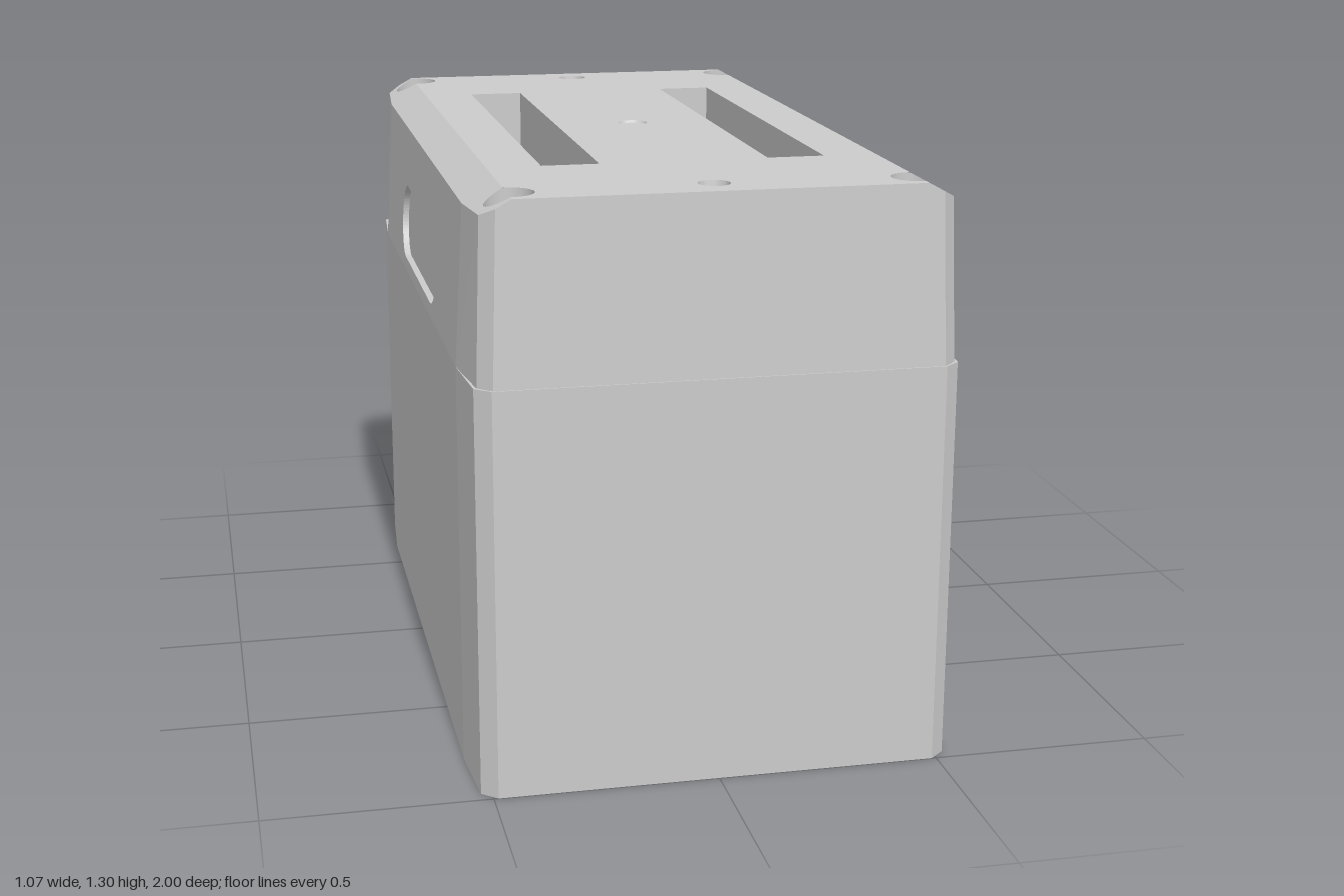
import * as THREE from 'three';
import { toCreasedNormals } from 'three/addons/utils/BufferGeometryUtils.js';

const grey = new THREE.MeshStandardMaterial({ color: 0xcccccc, side: THREE.DoubleSide });
const V2 = (x, y) => new THREE.Vector2(x, y);

// Side chamfer of the lid top, and the sloping lid side
const topY = x => 1.305 - Math.max(0, Math.abs(x) - 0.44) * 0.55;
const sideX = y => 0.537 - (y - 0.91) * 0.0567;

export function createModel() {
  const model = new THREE.Group();
  const add = (name, geo, x = 0, y = 0, z = 0, parent = model) => {
    const mesh = new THREE.Mesh(geo, grey);
    mesh.name = name;
    mesh.position.set(x, y, z);
    parent.add(mesh);
    return mesh;
  };

  // Flat-faced skin between closed rings of [x, y, z]; skip lists omitted segments
  const loft = (rings, skip = []) => {
    const pos = [], n = rings[0].length;
    for (let r = 0; r < rings.length - 1; r++) {
      for (let i = 0; i < n; i++) {
        if (skip.includes(i)) continue;
        const j = (i + 1) % n, a = rings[r][i], b = rings[r][j], c = rings[r + 1][j], d = rings[r + 1][i];
        pos.push(...a, ...b, ...c, ...a, ...c, ...d);
      }
    }
    const g = new THREE.BufferGeometry();
    g.setAttribute('position', new THREE.Float32BufferAttribute(pos, 3));
    g.computeVertexNormals();
    return g;
  };

  // Flat shape carried into space by a rule
  const sheet = (shape, map, flip = false) => {
    const g = new THREE.ShapeGeometry(shape, 16);
    const p = g.attributes.position;
    for (let i = 0; i < p.count; i++) p.setXYZ(i, ...map(p.getX(i), p.getY(i)));
    if (flip) g.index.array.reverse();
    g.computeVertexNormals();
    return g;
  };
  const circle = (x, y, r) => new THREE.Path().absarc(x, y, r, 0, Math.PI * 2);
  const lathe = (pts, seg = 32) =>
    toCreasedNormals(new THREE.LatheGeometry(pts.map(p => V2(...p)), seg), 0.6);

  // Plan outline, front to back on +x and mirrored on -x
  const plan = (xa, xb, xc, zf, zb, yOf) => {
    const half = [[0.44, zf], [xa, zf], [xb, zf - 0.03], [xc, 0.79], [xc, -0.63], [xb, zb + 0.03], [xa, zb], [0.44, zb]];
    return [...half, ...half.map(([x, z]) => [-x, z]).reverse()].map(([x, z]) => [x, yOf(x), z]);
  };
  const base = plan(0.49, 0.524, 0.537, 1, -0.845, () => 0);
  const baseTop = base.map(([x, , z]) => [x, 0.91, z]);
  const lidLow = plan(0.487, 0.517, 0.537, 0.997, -0.842, () => 0.91);
  const lidTop = plan(0.475, 0.505, 0.517, 0.985, -0.83, topY);
  add('lowerHousing', loft([base, baseTop, lidLow]));
  add('lidWalls', loft([lidLow, lidTop], [3, 11]));

  // Lid sides with a shallow pill-shaped grip recess
  const pill = [];
  for (let i = 0; i <= 32; i++) {
    const a = -Math.PI / 2 + (i % 33) * Math.PI / 32;
    pill.push(V2(0.07 + 0.255 + 0.09 * Math.cos(a), 1.03 + 0.09 * Math.sin(a)));
  }
  pill.push(...pill.map(p => V2(0.14 - p.x, 2.06 - p.y)));
  for (const s of [1, -1]) {
    const side = new THREE.Shape([V2(-0.63, 0.91), V2(0.79, 0.91), V2(0.79, topY(0.517)), V2(-0.63, topY(0.517))]);
    side.holes.push(new THREE.Path(pill));
    add('lidSide', sheet(side, (z, y) => [s * sideX(y), y, z], s > 0));
    const ring = d => pill.map(p => [s * (sideX(p.y) - d), p.y, p.x]);
    add('gripWall', loft([ring(0), ring(0.015)]));
    add('gripFloor', sheet(new THREE.Shape(pill), (z, y) => [s * (sideX(y) - 0.015), y, z], s > 0));
  }

  // Lid top: centre strip and two chamfers, meeting through the corner bores
  const boreX = 0.435, boreR = 0.053, boreZ = [0.91, -0.765];
  const phi = Math.acos((0.44 - boreX) / boreR);
  const seam = outer => {
    const pts = [V2(0.44, 0.985)];
    for (const cz of boreZ) {
      for (let i = 0; i <= 20; i++) {
        const a = phi + (i / 20) * (outer ? -2 * phi : 2 * (Math.PI - phi));
        pts.push(V2(boreX + boreR * Math.cos(a), cz + boreR * Math.sin(a)));
      }
    }
    pts.push(V2(0.44, -0.83));
    return pts;
  };
  const inner = seam(false);
  const centre = new THREE.Shape([...inner, ...inner.map(p => V2(-p.x, p.y)).reverse()]);
  const slots = [1, -1].map(s => [[s * 0.19, -0.48], [s * 0.32, -0.48], [s * 0.32, 0.62], [s * 0.19, 0.62]]);
  slots.forEach(q => centre.holes.push(new THREE.Path(q.map(p => V2(...p)))));
  const topHoles = [[-0.75, 0.035, 0.03], [0.895, 0.035, 0.03], [0.07, 0.035, 0.008]];
  topHoles.forEach(([z, r]) => centre.holes.push(circle(0, z, r)));
  const onTop = (x, z) => [x, topY(x), z];
  add('lidTop', sheet(centre, onTop, true));
  for (const s of [1, -1]) {
    const rim = lidTop.slice(1, 7).reverse().map(([x, , z]) => V2(x, z));
    const strip = [...seam(true), ...rim].map(p => V2(s * p.x, p.y));
    add('lidChamfer', sheet(new THREE.Shape(strip), onTop, true));
  }

  // Long slots
  for (const q of slots) {
    const ring = y => q.map(([x, z]) => [x, y, z]);
    add('slotWall', loft([ring(1.305), ring(1.05)]));
    add('slotFloor', sheet(new THREE.Shape(q.map(p => V2(...p))), (x, z) => [x, 1.05, z], true));
  }

  // Stepped corner bores, trimmed to the chamfer
  for (const s of [1, -1]) for (const z of boreZ) {
    const g = lathe([[boreR, 0], [boreR, -0.06], [0.027, -0.06], [0.027, -0.2], [0, -0.2]], 40);
    const p = g.attributes.position;
    for (let i = 0; i < p.count; i++) if (p.getY(i) > -0.001) p.setY(i, topY(s * boreX + p.getX(i)) - 1.305);
    add('cornerBore', g, s * boreX, 1.305, z);
  }
  topHoles.forEach(([z, r, d]) => add('topHole', lathe([[r, 0], [r * 0.9, -d * 0.7], [0, -d]], 24), 0, 1.305, z));

  // Underside with recessed screws
  const under = new THREE.Shape(base.map(([x, , z]) => V2(x, z)));
  const screws = [[0.47, -0.25, 0.03], [-0.47, 0.395, 0.03]];
  for (const s of [1, -1]) {
    screws.push([s * 0.435, -0.775, s > 0 ? 0.042 : 0.025], [s * 0.435, 0.92, s > 0 ? 0.025 : 0.042]);
    screws.push([s * 0.45, -0.645, 0.038], [s * 0.45, 0.8, 0.038]);
  }
  screws.forEach(([x, z, r]) => {
    under.holes.push(circle(x, z, r));
    add('baseScrew', lathe([[r, 0], [r, 0.025], [r * 0.8, 0.025], [r * 0.75, 0.01], [r * 0.4, 0.008], [r * 0.4, 0.025], [0, 0.025]], 24), x, 0, z);
  });
  add('underside', sheet(under, (x, z) => [x, 0, z]));

  // Rear panel; fittings are built along +y and turned to face the back
  const rear = new THREE.Group();
  rear.name = 'rearPanel';
  model.add(rear);
  const back = (name, geo, x, y, z = -0.85) => add(name, geo.rotateX(-Math.PI / 2), x, y, z, rear);
  const plate = new THREE.Shape([
    [0.4, 0.19], [0.43, 0.22], [0.43, 0.76], [0.4, 0.79], [-0.38, 0.79], [-0.41, 0.76], [-0.41, 0.58],
    [-0.425, 0.55], [-0.425, 0.46], [-0.43, 0.43], [-0.43, 0.22], [-0.4, 0.19],
  ].map(p => V2(...p)));
  add('panelPlate', new THREE.ExtrudeGeometry(plate, { depth: 0.01, bevelEnabled: false }), 0, 0, -0.85, rear);
  for (const x of [0.355, -0.355]) for (const y of [0.235, 0.755]) {
    back('panelScrew', lathe([[0.032, 0], [0.032, 0.006], [0.022, 0.014], [0.012, 0.014], [0.012, 0.006], [0, 0.006]], 20), x, y);
  }
  back('ventScrew', lathe([[0.025, 0], [0.025, 0.005], [0.016, 0.005], [0.014, 0.001], [0, 0.001]], 20), -0.35, 0.49);
  for (const x of [0.224, 0.15, 0.075, -0.06, -0.135, -0.215]) {
    back('indicator', lathe([[0.016, 0], [0.014, 0.004], [0, 0.006]], 16), x, 0.69);
  }

  // Socket with pins, and the slimmer plug connector
  const hex = (r, h) => toCreasedNormals(new THREE.CylinderGeometry(r, r, h, 6).translate(0, h / 2, 0), 0.4);
  back('socketNut', hex(0.095, 0.025), 0.14, 0.545);
  back('socketShell', lathe([[0.07, 0], [0.07, 0.1], [0.063, 0.108], [0.063, 0.12], [0.052, 0.12], [0.052, 0.095], [0, 0.095]]), 0.14, 0.545);
  for (let i = 0; i < 7; i++) {
    const a = i * Math.PI * 2 / 7;
    back('socketPin', new THREE.CylinderGeometry(0.008, 0.008, 0.012, 10), 0.14 + 0.033 * Math.cos(a), 0.545 + 0.033 * Math.sin(a), -0.948);
  }
  back('plugNut', hex(0.09, 0.02), -0.145, 0.545);
  back('plugHex', hex(0.07, 0.09), -0.145, 0.545);
  back('plugShell', lathe([[0.058, 0.08], [0.058, 0.11], [0.046, 0.115], [0.046, 0.125], [0.053, 0.13], [0.053, 0.145], [0.048, 0.15], [0.038, 0.15], [0.038, 0.1], [0, 0.1]]), -0.145, 0.545);
  for (const dx of [-0.014, 0.014]) for (const dy of [-0.014, 0.014]) {
    back('plugPin', new THREE.CylinderGeometry(0.006, 0.006, 0.035, 8), -0.145 + dx, 0.545 + dy, -0.965);
  }

  // Round blanking cap with a coin slot
  back('blankingCap', lathe([[0.11, 0], [0.11, 0.01], [0.098, 0.025], [0.075, 0.036], [0.075, 0.02], [0, 0.02]], 40), 0, 0.31);
  const face = new THREE.Shape().absarc(0, 0, 0.075, 0, Math.PI * 2);
  const slot = new THREE.Path().absarc(0, 0.05, 0.011, 0, Math.PI);
  slot.absarc(0, -0.05, 0.011, Math.PI, Math.PI * 2);
  face.holes.push(slot);
  add('capFace', toCreasedNormals(new THREE.ExtrudeGeometry(face, { depth: 0.016, bevelEnabled: false, curveSegments: 20 }), 0.6), 0, 0.31, -0.886, rear);

  return model;
}
